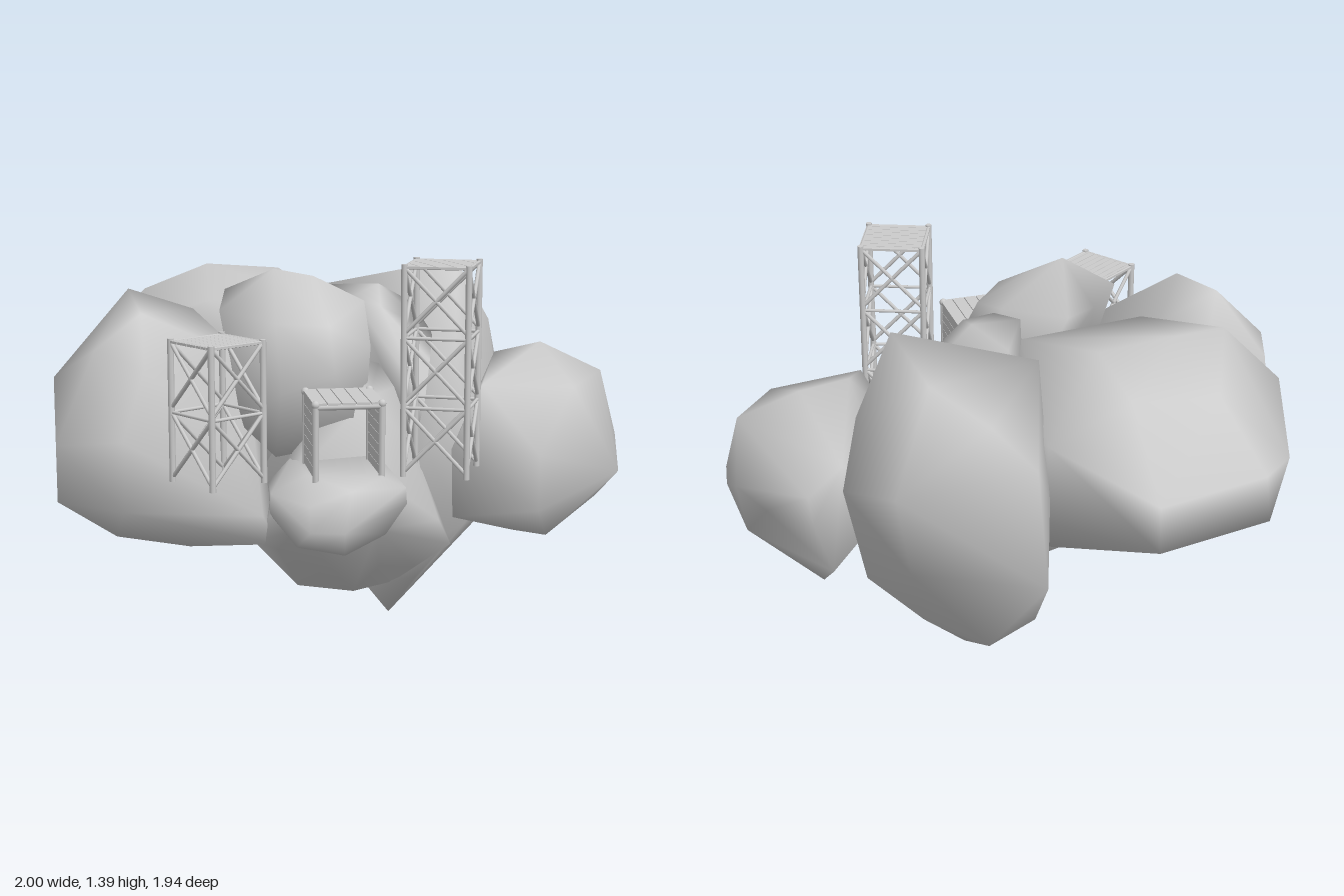
import * as THREE from 'three';
import { mergeVertices } from 'three/addons/utils/BufferGeometryUtils.js';
import { ConvexGeometry } from 'three/addons/geometries/ConvexGeometry.js';

const grey = new THREE.MeshStandardMaterial({ color: 0xcccccc });
const V = (x, y, z) => new THREE.Vector3(x, y, z);

// Boulder: convex hull of its corner points, shaded smoothly
function boulder(name, corners) {
  const hull = new ConvexGeometry(corners.map(p => V(...p)));
  hull.deleteAttribute('normal');
  const geo = mergeVertices(hull, 1e-4);
  geo.computeVertexNormals();
  const mesh = new THREE.Mesh(geo, grey);
  mesh.name = name;
  return mesh;
}

function box(name, w, h, d, x, y, z) {
  const mesh = new THREE.Mesh(new THREE.BoxGeometry(w, h, d), grey);
  mesh.position.set(x, y, z);
  mesh.name = name;
  return mesh;
}

// Round pole between two points
function pole(name, a, b, r) {
  const mesh = new THREE.Mesh(new THREE.CylinderGeometry(r, r, a.distanceTo(b), 8), grey);
  mesh.position.copy(a).lerp(b, 0.5);
  mesh.quaternion.setFromUnitVectors(V(0, 1, 0), b.clone().sub(a).normalize());
  mesh.name = name;
  return mesh;
}

// Scaffold tower: four legs, rails and crossed braces on each storey, slatted deck
function tower(name, x, z, turn, storeys) {
  const g = new THREE.Group();
  const half = 0.108, storey = 0.236, height = storeys * storey;
  const corners = [[-1, -1], [1, -1], [1, 1], [-1, 1]].map(([a, b]) => [a * half, b * half]);
  corners.forEach(([ax, az], i) => {
    const [bx, bz] = corners[(i + 1) % 4];
    g.add(pole('leg', V(ax, 0, az), V(ax, height + 0.01, az), 0.011));
    for (let s = 0; s < storeys; s++) {
      const y0 = s * storey + 0.015, y1 = (s + 1) * storey;
      g.add(pole('brace', V(ax, y0, az), V(bx, y1, bz), 0.007));
      g.add(pole('brace', V(bx, y0, bz), V(ax, y1, az), 0.007));
      g.add(pole('rail', V(ax, y1, az), V(bx, y1, bz), 0.006));
    }
  });
  const slats = 9, pitch = 0.23 / slats;
  for (let i = 0; i < slats; i++)
    g.add(box('deckSlat', 0.23, 0.008, pitch - 0.002, 0, height, (i - (slats - 1) / 2) * pitch));
  g.position.set(x, 0.668, z);
  g.rotation.y = turn;
  g.name = name;
  return g;
}

// Open shelter: corner posts, planked side walls and a planked roof
function shelter() {
  const g = new THREE.Group();
  const xs = [-0.108, 0.108], zs = [-0.12, 0.125];
  for (const x of xs) {
    for (const z of zs) {
      g.add(pole('post', V(x, -0.02, z), V(x, 0.245, z), 0.011));
      const knob = new THREE.Mesh(new THREE.SphereGeometry(0.014, 10, 8), grey);
      knob.position.set(x, 0.243, z);
      knob.name = 'postKnob';
      g.add(knob);
    }
    for (let i = 0; i < 7; i++) g.add(box('wallPlank', 0.012, 0.0325, 0.255, x, 0.018 + i * 0.034, 0));
  }
  for (const z of zs) g.add(pole('lintel', V(xs[0], 0.235, z), V(xs[1], 0.235, z), 0.01));
  for (let i = 0; i < 5; i++) g.add(box('roofPlank', 0.044, 0.012, 0.265, (i - 2) * 0.047, 0.243, 0));
  g.position.set(-0.065, 0.723, 0.557);
  g.name = 'shelter';
  return g;
}

const boulders = {
  rightBoulder: [
    [-1, 0.97, 0.06], [-1, 0.54, 0.12], [-1, 0.75, 0.17], [-0.73, 1.25, -0.12], [-0.7, 1.2, 0.17], [-0.86, 1.08, 0.18],
    [-0.5, 1.17, -0.15], [-0.35, 1.05, 0.2], [-0.92, 0.8, -0.2], [-0.9, 1.0, -0.19], [-0.8, 0.43, -0.25],
    [-0.58, 0.8, -0.31], [-0.8, 0.43, 0.2], [-0.55, 0.39, 0.22], [-0.24, 0.38, 0.2], [-0.78, 0.56, 0.39],
    [-0.78, 0.8, 0.39], [-0.7, 1.03, 0.32], [-0.4, 0.75, 0.28], [-0.3, 0.5, 0.27], [-0.5, 0.4, -0.15]],
  backBoulder: [
    [-0.2, 0.77, -0.97], [-0.6, 0.79, -0.92], [-0.22, 0.9, -0.91], [-0.61, 0.92, -0.86], [0.1, 0.8, -0.72],
    [0.08, 1.05, -0.68], [-0.75, 0.65, -0.55], [-0.85, 0.93, -0.43], [-0.83, 1.05, -0.45], [-0.71, 0.95, -0.81],
    [-0.42, 1.29, -0.5], [-0.15, 1.27, -0.5], [-0.2, 1.17, -0.69], [-0.5, 1.15, -0.7], [-0.66, 1.22, -0.35],
    [-0.44, 1.2, -0.14], [0, 1.18, -0.15], [0.08, 0.9, -0.2], [-0.4, 0.85, -0.04], [-0.05, 0.85, -0.04],
    [-0.3, 0.5, -0.25], [0, 0.5, -0.4]],
  tallBoulder: [
    [0.48, 1.32, -0.25], [0.42, 1.23, -0.5], [0.27, 1.15, -0.68], [0.15, 1.03, -0.79], [0.13, 0.62, -0.84],
    [0.63, 1.08, -0.35], [0.68, 0.8, -0.33], [0.64, 0.75, -0.18], [0.55, 0.85, -0.53], [0.5, 0.55, -0.52],
    [0.22, 0, -0.17], [0.22, 0.18, -0.48], [0.58, 0.36, -0.2], [0.4, 0.2, -0.28], [0.12, 0.4, -0.68],
    [0.1, 0.17, 0.04], [0.28, 0.2, 0.06], [0.44, 0.42, 0.15], [0.42, 0.8, 0.21], [0.28, 0.7, 0.24],
    [0.02, 1.22, -0.4], [0.05, 0.4, -0.3], [0.42, 1.0, 0.05], [0.1, 0.9, -0.76]],
  leftBoulder: [
    [0.56, 1.02, 0.05], [0.75, 1.04, -0.03], [0.96, 0.94, 0.03], [1, 0.75, -0.1], [1, 0.72, 0.1], [0.99, 0.6, 0.19],
    [0.95, 0.48, 0.05], [0.73, 0.37, 0.18], [0.73, 0.37, -0.18], [0.6, 0.4, 0.2], [0.37, 0.47, 0.26],
    [0.36, 0.72, 0.28], [0.47, 0.94, 0.26], [0.8, 0.92, 0.25], [0.66, 0.5, 0.34], [0.66, 0.7, 0.34],
    [0.68, 0.9, -0.34], [0.8, 0.8, -0.34], [0.79, 0.7, -0.35], [0.72, 0.48, -0.31], [0.92, 0.7, -0.21], [0.45, 0.6, -0.1]],
  upperBoulder: [
    [-0.24, 1.34, 0.12], [-0.43, 1.2, 0.13], [-0.4, 1.26, 0.02], [-0.28, 1.24, -0.1], [-0.18, 1.22, -0.12],
    [0.03, 1.24, -0.02], [0.08, 1.22, 0.1], [0.09, 1.05, 0.12], [0.08, 1.08, 0.24], [-0.07, 1.02, 0.42],
    [-0.08, 1.17, 0.36], [-0.26, 1.18, 0.34], [-0.25, 0.95, 0.4], [-0.4, 1.05, 0.26], [-0.37, 0.82, 0.24],
    [-0.26, 0.72, 0.32], [0.04, 0.77, 0.32], [0, 0.75, 0], [-0.1, 1.31, 0.1]],
  middleBoulder: [
    [0, 1.25, -0.14], [0.17, 1.25, -0.13], [0.08, 1.2, -0.26], [0.29, 1.18, -0.19], [0.36, 1.08, -0.08],
    [0.32, 1.0, 0.08], [0.28, 0.88, 0.2], [0.24, 0.75, 0.24], [0.15, 1.19, 0.04], [0.05, 1.22, 0], [0.02, 0.6, 0.15],
    [0, 0.6, -0.25]],
  frontBoulder: [
    [-0.15, 0.18, 0.04], [0.05, 0.155, 0.06], [0.2, 0.18, 0.04], [0.27, 0.25, 0.1], [0.39, 0.34, 0.14],
    [-0.32, 0.38, 0.15], [-0.25, 0.38, 0.27], [-0.1, 0.3, 0.2], [0.12, 0.28, 0.19], [0.1, 0.4, 0.3],
    [-0.2, 0.48, 0.4], [0.08, 0.47, 0.4], [0.13, 0.62, 0.41], [-0.22, 0.66, 0.43], [0.33, 0.45, 0.22],
    [0.18, 0.78, 0.27], [0.17, 0.93, 0.2], [0.12, 1.01, 0.17], [0.02, 1.04, 0.19], [-0.05, 1, 0.25],
    [0.06, 0.92, 0.33], [-0.2, 0.75, 0.3], [-0.15, 0.32, -0.15], [-0.3, 0.42, -0.1], [-0.24, 0.56, -0.28],
    [0.2, 0.4, -0.1]],
  ledge: [
    [-0.23, 0.62, 0.97], [-0.12, 0.61, 0.96], [-0.2, 0.56, 0.95], [-0.22, 0.68, 0.88], [-0.08, 0.72, 0.86],
    [0.12, 0.64, 0.72], [0.12, 0.69, 0.7], [0.04, 0.73, 0.72], [0.05, 0.54, 0.72], [-0.1, 0.505, 0.83],
    [-0.25, 0.53, 0.8], [-0.32, 0.61, 0.66], [-0.31, 0.66, 0.6], [-0.19, 0.72, 0.6], [-0.29, 0.55, 0.5],
    [0.12, 0.62, 0.5], [0.08, 0.73, 0.4], [-0.2, 0.72, 0.3], [-0.29, 0.64, 0.35], [0.05, 0.54, 0.35], [-0.15, 0.53, 0.3]],
};

export function createModel() {
  const model = new THREE.Group();
  model.name = 'boulderOutpost';
  for (const [name, corners] of Object.entries(boulders)) model.add(boulder(name, corners));
  model.add(tower('shortTower', -0.467, 0.44, 0.58, 2));
  model.add(tower('tallTower', 0.297, 0.39, -0.38, 3));
  model.add(shelter());
  return model;
}
